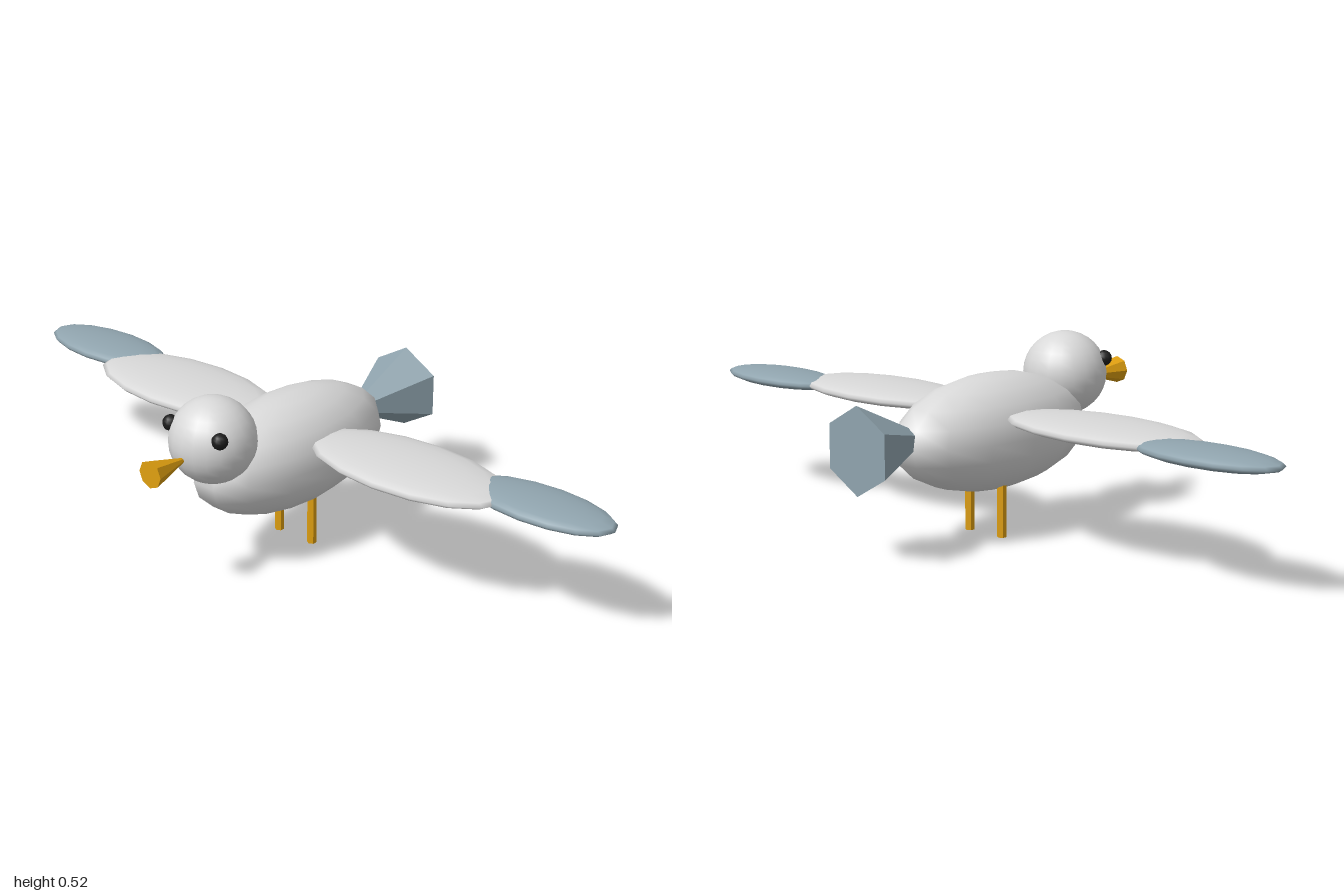
import * as THREE from 'three';

const material = (name, color, flatShading = false) => {
  const m = new THREE.MeshStandardMaterial({ color, flatShading });
  m.name = name;
  return m;
};

export function createModel() {
  const bird = new THREE.Group();
  bird.name = 'bird';

  const plumage = material('pale grey plumage', 0xd8d8d8);
  const slate = material('slate feathers', 0x90a4ae);
  const orange = material('orange beak and legs', 0xe0a010);
  const black = material('black eyes', 0x1c1c1c);

  const add = (name, geometry, mat, x, y, z) => {
    const mesh = new THREE.Mesh(geometry, mat);
    mesh.name = name;
    mesh.position.set(x, y, z);
    bird.add(mesh);
    return mesh;
  };
  const ellipsoid = (rx, ry, rz, w, h) => new THREE.SphereGeometry(1, w, h).scale(rx, ry, rz);
  // Faceted pieces get one normal per face
  const faceted = (geometry) => {
    const g = geometry.toNonIndexed();
    g.computeVertexNormals();
    return g;
  };

  // Body and head
  add('body', ellipsoid(0.158, 0.158, 0.343, 14, 10), plumage, 0, 0.282, -0.014);
  add('head', new THREE.SphereGeometry(0.117, 20, 16), plumage, 0, 0.404, 0.282);

  // Flared beak, narrow end in the head
  add('beak', faceted(new THREE.ConeGeometry(0.038, 0.14, 8).rotateX(-Math.PI / 2)), orange, 0, 0.383, 0.44);

  // Six-sided tail fan, opening backwards
  add('tail', faceted(new THREE.ConeGeometry(0.118, 0.255, 6).rotateX(Math.PI / 2)), slate, 0, 0.302, -0.3825);

  // Paired parts
  for (const [side, s] of [['left', 1], ['right', -1]]) {
    add(side + 'Eye', new THREE.SphereGeometry(0.022, 10, 8), black, s * 0.088, 0.446, 0.347);
    add(side + 'Wing', ellipsoid(0.31, 0.028, 0.15, 16, 10), plumage, s * 0.4, 0.342, -0.025);
    add(side + 'WingTip', ellipsoid(0.22, 0.025, 0.098, 16, 10), slate, s * 0.78, 0.341, -0.081);
    add(side + 'Leg', faceted(new THREE.CylinderGeometry(0.013, 0.013, 0.16, 6)), orange, s * 0.06, 0.08, -0.039);
  }
  return bird;
}
